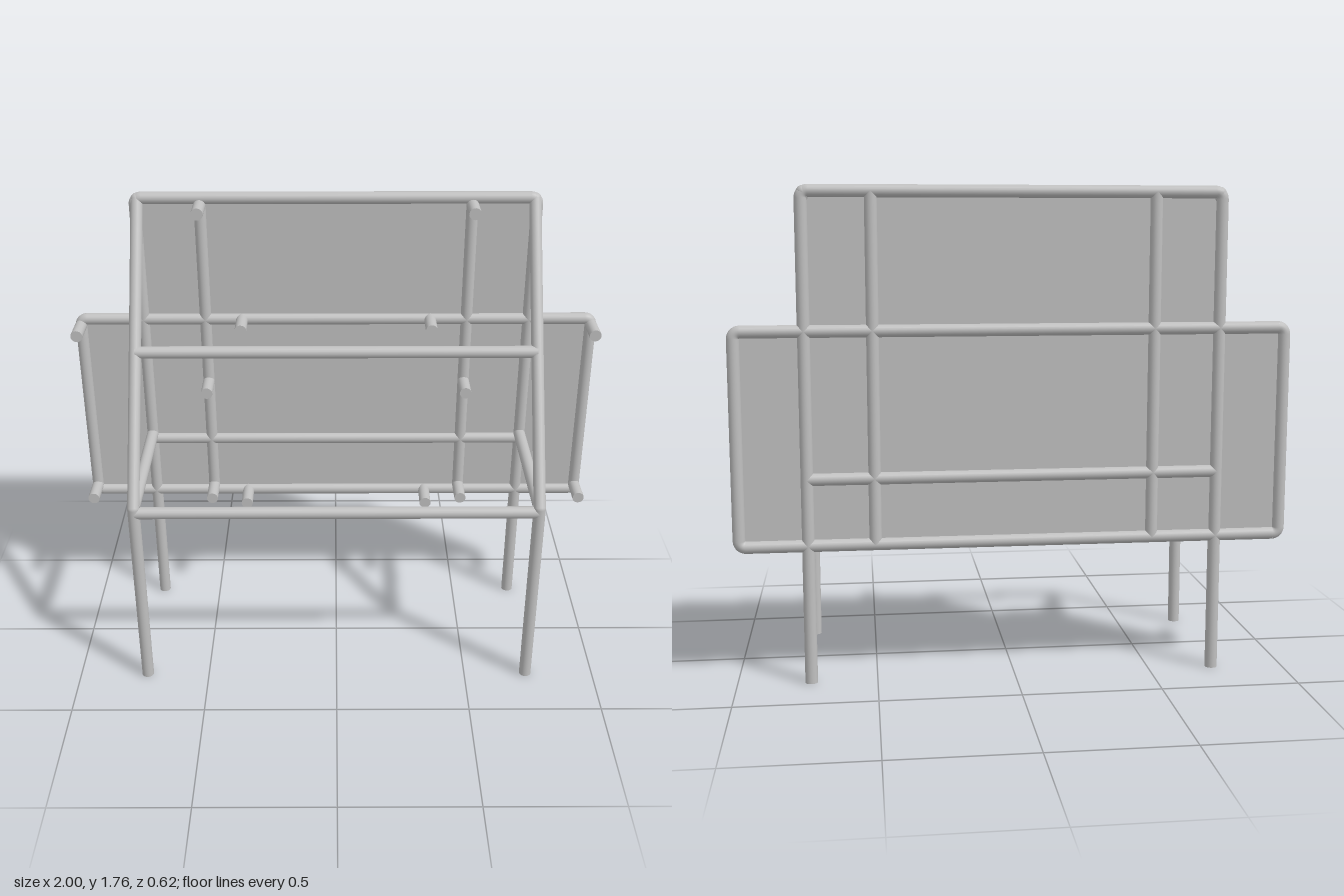
import * as THREE from 'three';

const R = 0.0225;      // tube radius
const BEND = 0.024;    // centre-line radius of the frame corners
const BACK = -0.285, FRONT = 0.285;
const POST = 0.737, TOP = 1.742;
const WIDE = 0.978, LOW = 0.504, MID = 1.263;
const RAIL = 0.742;

export function createModel() {
  const model = new THREE.Group();
  const metal = new THREE.MeshStandardMaterial({ color: 0xc0c0c0 });
  metal.name = 'grey metal';

  const add = (name, geometry, parent = model) => {
    const mesh = new THREE.Mesh(geometry, metal);
    mesh.name = name;
    parent.add(mesh);
    return mesh;
  };

  // Straight round tube between two points
  const rod = (name, a, b, parent = model) => {
    const from = new THREE.Vector3(...a), to = new THREE.Vector3(...b);
    const dir = to.clone().sub(from);
    const mesh = add(name, new THREE.CylinderGeometry(R, R, dir.length(), 20), parent);
    mesh.position.copy(from).add(to).multiplyScalar(0.5);
    mesh.quaternion.setFromUnitVectors(new THREE.Vector3(0, 1, 0), dir.normalize());
  };

  // Quarter bend in the back plane; sx, sy point to the outer corner
  const elbow = (name, x, y, sx, sy, parent) => {
    const mesh = add(name, new THREE.TorusGeometry(BEND, R, 16, 8, Math.PI / 2), parent);
    mesh.position.set(x - sx * BEND, y - sy * BEND, BACK);
    mesh.rotation.z = sy > 0 ? (sx > 0 ? 0 : Math.PI / 2) : (sx > 0 ? -Math.PI / 2 : Math.PI);
  };

  const joint = (name, p) => add(name, new THREE.SphereGeometry(R, 20, 14)).position.set(...p);

  // Tall back frame: two posts joined by a top rail
  const tall = new THREE.Group();
  tall.name = 'tallBackFrame';
  model.add(tall);
  rod('topRail', [-POST + BEND, TOP, BACK], [POST - BEND, TOP, BACK], tall);
  rod('backRail', [-POST, RAIL, BACK], [POST, RAIL, BACK], tall);

  // Wide rectangular frame crossing the posts
  const wide = new THREE.Group();
  wide.name = 'wideBackFrame';
  model.add(wide);
  for (const [y, sy] of [[LOW, -1], [MID, 1]]) {
    rod('wideRail', [-WIDE + BEND, y, BACK], [WIDE - BEND, y, BACK], wide);
    for (const s of [-1, 1]) elbow('wideCorner', s * WIDE, y, s, sy, wide);
  }

  // Mirrored left and right parts
  for (const s of [-1, 1]) {
    const knee = [s * 0.739, 0.76, FRONT];
    rod('backPost', [s * POST, 0, BACK], [s * POST, TOP - BEND, BACK], tall);
    elbow('topCorner', s * POST, TOP, s, 1, tall);
    rod('wideSide', [s * WIDE, LOW + BEND, BACK], [s * WIDE, MID - BEND, BACK], wide);
    rod('upright', [s * 0.5, LOW, BACK], [s * 0.5, TOP, BACK]);

    rod('frontLeg', [s * 0.739, 0, FRONT], knee);
    joint('kneeJoint', knee);
    rod('diagonalBrace', knee, [s * 0.729, TOP - 0.004, BACK]);
    joint('braceTopJoint', [s * 0.729, TOP - 0.004, BACK]);
    rod('sideRail', [s * POST, 0.765, BACK], [s * POST, 0.765, FRONT]);

    // Short pegs pointing forward from the back frames
    const pegs = [
      [0.5, 1.718], [0.5, 1.0], [0.5, 0.527],
      [0.36, MID], [0.36, LOW],
      [WIDE, 1.241], [WIDE, 0.527],
    ];
    for (const [x, y] of pegs) rod('peg', [s * x, y, BACK], [s * x, y, -0.167]);
  }

  // Cross rails between the front legs and the braces
  rod('frontRail', [-0.739, RAIL, FRONT], [0.739, RAIL, FRONT]);
  rod('braceRail', [-0.734, 1.253, 0], [0.734, 1.253, 0]);

  // Thin sheets filling the frames
  const sheet = (name, halfWidth, y0, y1) =>
    add(name, new THREE.BoxGeometry(halfWidth * 2, y1 - y0, 0.006)).position.set(0, (y0 + y1) / 2, BACK);
  sheet('upperPanel', POST, MID, TOP);
  sheet('lowerPanel', WIDE, LOW, MID);

  return model;
}
